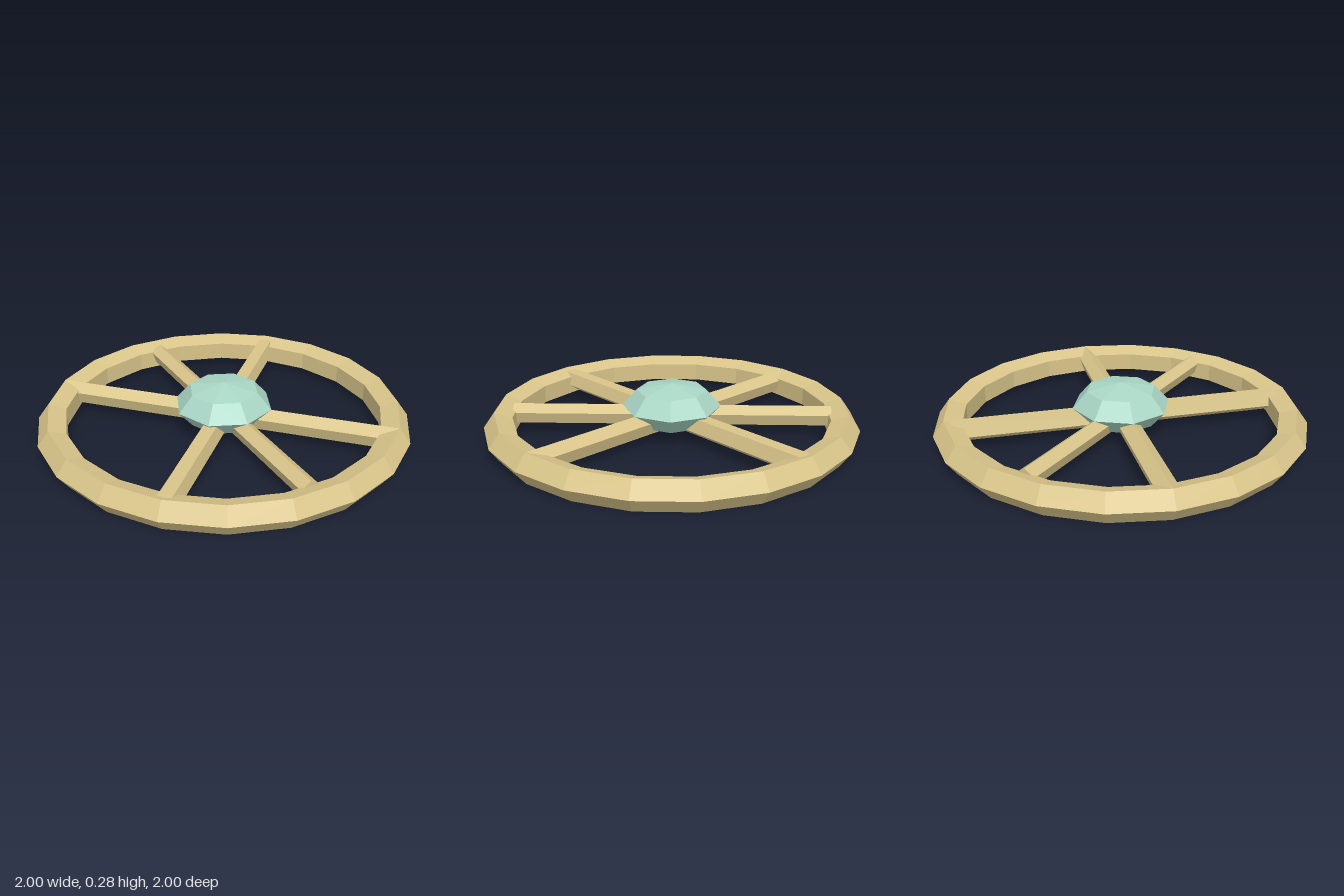
import * as THREE from 'three';

const wood = new THREE.MeshStandardMaterial({ color: 0xd9c58a, flatShading: true });
const teal = new THREE.MeshStandardMaterial({ color: 0xa9d6c5, flatShading: true });

export function createModel() {
  const wheel = new THREE.Group();
  wheel.name = 'wheel';

  const add = (name, geometry, material, y) => {
    const mesh = new THREE.Mesh(geometry, material);
    mesh.name = name;
    mesh.position.y = y;
    wheel.add(mesh);
  };

  // Rim: twenty segments with a five-sided section, sharp edge outward
  add('rim', new THREE.TorusGeometry(0.916, 0.084, 5, 20).rotateX(Math.PI / 2), wood, 0.08);

  // Spokes: five-sided bars through the hub, ridge up or ridge down
  const spokes = [
    { name: 'crossSpoke', radius: 0.06, length: 1.87, y: 0.1, tilt: -1, turn: Math.PI / 2 },
    { name: 'longSpoke', radius: 0.06, length: 1.84, y: 0.1, tilt: 1, turn: 0 },
    { name: 'diagonalSpoke', radius: 0.055, length: 1.71, y: 0.107, tilt: -1, turn: Math.PI / 4 },
  ];
  for (const { name, radius, length, y, tilt, turn } of spokes) {
    const bar = new THREE.CylinderGeometry(radius, radius, length, 5)
      .rotateX(tilt * Math.PI / 2)
      .rotateY(turn);
    add(name, bar, wood, y);
  }

  // Hub: flattened eight-sided gem
  add('hub', new THREE.SphereGeometry(0.265, 8, 4).scale(1, 0.472, 1), teal, 0.16);

  return wheel;
}
